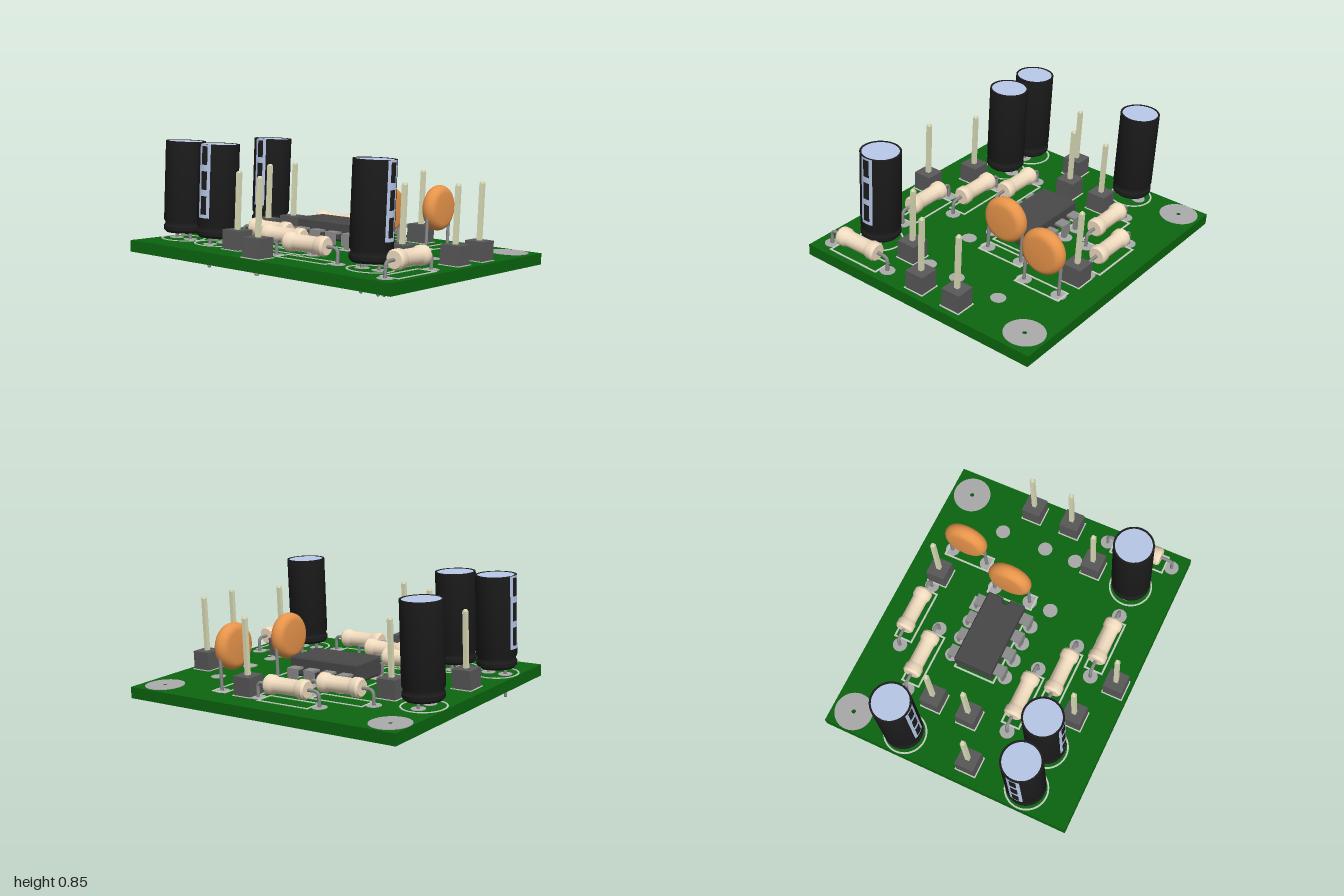
import * as THREE from 'three';
import { toCreasedNormals } from 'three/addons/utils/BufferGeometryUtils.js';

const mat = (color, side = THREE.FrontSide) => new THREE.MeshStandardMaterial({ color, side });
const M = {
  board: mat(0x0b650f), pad: mat(0xaaaaaa), silk: mat(0xc4ccc0), trace: mat(0x777777),
  lead: mat(0x8c8c8c), pin: mat(0xdedeba), block: mat(0x585858), chip: mat(0x484848),
  sleeve: mat(0x1c1c1c), stripe: mat(0xb8c8e8, THREE.DoubleSide),
  mark: mat(0x1c1c1c, THREE.DoubleSide), resistor: mat(0xf0dbbf), disc: mat(0xe8944a),
};
const T = 0.073; // board thickness; the top of the board is y = 0

function add(parent, name, geo, material, x = 0, y = 0, z = 0) {
  const m = new THREE.Mesh(geo, material);
  m.name = name;
  m.position.set(x, y, z);
  parent.add(m);
  return m;
}
function part(parent, name, x, z, turn = 0) {
  const g = new THREE.Group();
  g.name = name;
  g.position.set(x, 0, z);
  g.rotation.y = turn;
  parent.add(g);
  return g;
}
const box = (w, h, d) => new THREE.BoxGeometry(w, h, d);
const lathe = (pts, n = 36) => toCreasedNormals(
  new THREE.LatheGeometry(pts.map(p => new THREE.Vector2(...p)), n), 0.6);

function rectPath(P, w, d) {
  const p = new P();
  p.moveTo(-w, -d); p.lineTo(w, -d); p.lineTo(w, d); p.lineTo(-w, d); p.closePath();
  return p;
}
function circlePath(P, r, x = 0, z = 0) {
  return new P().absarc(x, z, r, 0, Math.PI * 2);
}
// Extrude an outline downward from y = 0
function flat(shape, depth, holes = []) {
  shape.holes.push(...holes);
  return new THREE.ExtrudeGeometry(shape, { depth, bevelEnabled: false, curveSegments: 20 }).rotateX(Math.PI / 2);
}
const frame = (w, d, t = 0.012) =>
  flat(rectPath(THREE.Shape, w, d), 0.004, [rectPath(THREE.Path, w - t, d - t)]);
const ring = (r, hole) =>
  flat(circlePath(THREE.Shape, r), 0.004, [circlePath(THREE.Path, hole)]);

// Copper pad on both faces
function pad(g, x, z, r = 0.048) {
  for (const y of [0.001, -T - 0.001]) add(g, 'pad', new THREE.CylinderGeometry(r, r, 0.005, 20), M.pad, x, y, z);
}
function wire(g, pts, r = 0.011) {
  const curve = new THREE.CurvePath();
  const v = pts.map(p => new THREE.Vector3(...p));
  if (v.length === 2) curve.add(new THREE.LineCurve3(v[0], v[1]));
  else {
    // rounded corner at the middle point
    const a = v[1].clone().lerp(v[0], 0.035 / v[1].distanceTo(v[0]));
    const b = v[1].clone().lerp(v[2], 0.035 / v[1].distanceTo(v[2]));
    curve.add(new THREE.LineCurve3(v[0], a));
    curve.add(new THREE.QuadraticBezierCurve3(a, v[1], b));
    curve.add(new THREE.LineCurve3(b, v[2]));
  }
  add(g, 'lead', new THREE.TubeGeometry(curve, 24, r, 8), M.lead);
  const end = v[v.length - 1];
  add(g, 'leadTip', new THREE.SphereGeometry(r, 8, 6), M.lead, end.x, end.y, end.z);
}

function electrolytic(root, x, z, turn) {
  const g = part(root, 'electrolyticCapacitor', x, z, turn);
  add(g, 'sleeve', lathe([[0, 0.045], [0.113, 0.045], [0.126, 0.06], [0.128, 0.085], [0.119, 0.1],
    [0.119, 0.108], [0.128, 0.125], [0.128, 0.63], [0.116, 0.63], [0.116, 0.622], [0, 0.622]]), M.sleeve);
  add(g, 'topCap', new THREE.CylinderGeometry(0.116, 0.116, 0.006, 36), M.stripe, 0, 0.624, 0);
  const arc = (r, h, a) => new THREE.CylinderGeometry(r, r, h, 8, 1, true, -a, 2 * a);
  add(g, 'polarityStripe', arc(0.1295, 0.46, 0.34), M.stripe, 0, 0.4, 0);
  for (let i = 0; i < 3; i++) add(g, 'stripeMark', arc(0.131, 0.115, 0.17), M.mark, 0, 0.25 + i * 0.155, 0);
  add(g, 'outline', ring(0.142, 0.131), M.silk, 0, 0.004, 0);
  for (const s of [-1, 1]) {
    pad(g, 0, s * 0.06, 0.045);
    wire(g, [[0, 0.06, s * 0.06], [0, -0.137, s * 0.06]]);
  }
}

function resistor(root, x, z, turn = 0) {
  const g = part(root, 'resistor', x, z, turn);
  const half = [[0.05, 0.075], [0.054, 0.09], [0.06, 0.1], [0.06, 0.138], [0.05, 0.152], [0, 0.152]];
  const profile = [...half.map(([r, y]) => [r, -y]).reverse(), ...half];
  add(g, 'resistorBody', lathe(profile, 28).rotateZ(Math.PI / 2), M.resistor, 0, 0.095, 0);
  add(g, 'outline', frame(0.192, 0.066), M.silk, 0, 0.004, 0);
  for (const s of [-1, 1]) {
    pad(g, s * 0.23, 0);
    wire(g, [[s * 0.14, 0.095, 0], [s * 0.23, 0.095, 0], [s * 0.23, -0.09, 0]]);
  }
}

function pinHeader(root, x, z) {
  const g = part(root, 'pinHeader', x, z);
  add(g, 'outline', frame(0.072, 0.072), M.silk, 0, 0.004, 0);
  add(g, 'headerBlock', box(0.128, 0.12, 0.128), M.block, 0, 0.063, 0);
  add(g, 'headerPin', box(0.027, 0.565, 0.027), M.pin, 0, 0.188, 0);
  // tapered pin ends
  for (const s of [-1, 1]) {
    const tip = new THREE.CylinderGeometry(0.011, 0.019, 0.012, 4).rotateY(Math.PI / 4);
    if (s < 0) tip.rotateX(Math.PI);
    add(g, 'pinTip', tip, M.pin, 0, s > 0 ? 0.4765 : -0.1005, 0);
  }
  pad(g, 0, 0, 0.045);
}

function discCapacitor(root, x, z) {
  const g = part(root, 'discCapacitor', x, z);
  const rim = [];
  for (let i = 0; i <= 12; i++) {
    const a = -Math.PI / 2 + Math.PI * i / 12;
    rim.push([0.1 + 0.048 * Math.cos(a), 0.05 * Math.sin(a)]);
  }
  add(g, 'discBody', lathe([[0, -0.053], ...rim, [0, 0.053]], 40).rotateZ(Math.PI / 2), M.disc, 0, 0.258, 0);
  add(g, 'outline', frame(0.056, 0.165), M.silk, 0, 0.004, 0);
  for (const s of [-1, 1]) {
    pad(g, 0, s * 0.128);
    wire(g, [[0, 0.24, s * 0.128], [0, -0.09, s * 0.128]]);
  }
}

function chip(root, x, z) {
  const g = part(root, 'chip', x, z);
  // body with a half-round notch in the +x end
  const s = new THREE.Shape();
  s.moveTo(-0.245, -0.122); s.lineTo(0.245, -0.122); s.lineTo(0.245, -0.035);
  s.absarc(0.245, 0, 0.035, -Math.PI / 2, Math.PI / 2, true);
  s.lineTo(0.245, 0.122); s.lineTo(-0.245, 0.122); s.closePath();
  const body = new THREE.ExtrudeGeometry(s, { depth: 0.1, bevelSize: 0.008, bevelThickness: 0.012, bevelSegments: 1, curveSegments: 10 });
  add(g, 'chipBody', body.rotateX(Math.PI / 2), M.chip, 0, 0.15, 0);
  add(g, 'outline', frame(0.265, 0.145), M.silk, 0, 0.004, 0);
  for (let i = 0; i < 4; i++) for (const d of [-1, 1]) {
    const px = -0.192 + i * 0.128;
    add(g, 'legShoulder', box(0.078, 0.014, 0.08), M.lead, px, 0.095, d * 0.153);
    add(g, 'legBlade', box(0.078, 0.08, 0.014), M.lead, px, 0.062, d * 0.19);
    add(g, 'legTip', box(0.03, 0.13, 0.014), M.lead, px, -0.04, d * 0.19);
    if (i === 3 && d < 0) add(g, 'firstPad', box(0.096, 0.005, 0.096), M.pad, px, 0.001, -0.19);
    else pad(g, px, d * 0.19);
  }
}

// Copper track on the underside, from [x, z] corners
function track(root, pts, w = 0.06) {
  const y = -T - 0.001;
  pts.forEach(([x, z], i) => {
    add(root, 'trackCorner', new THREE.CylinderGeometry(w / 2, w / 2, 0.004, 12), M.trace, x, y, z);
    if (!i) return;
    const [a, b] = pts[i - 1];
    const m = add(root, 'track', box(Math.hypot(x - a, z - b), 0.004, w), M.trace, (x + a) / 2, y, (z + b) / 2);
    m.rotation.y = -Math.atan2(z - b, x - a);
  });
}

export function createModel() {
  const model = new THREE.Group();
  model.name = 'circuitBoard';
  const root = new THREE.Group();
  root.name = 'tiltedAssembly';
  root.position.set(0, 0.167, 0);
  root.rotation.x = -0.0655;
  model.add(root);

  // Board with two mounting holes
  const holes = [[-0.872, -0.738], [0.84, -0.738]];
  const slab = new THREE.Shape();
  slab.moveTo(-1, -0.882); slab.lineTo(1, -0.882); slab.lineTo(1, 0.812); slab.lineTo(-1, 0.812); slab.closePath();
  add(root, 'board', flat(slab, T, holes.map(([x, z]) => circlePath(THREE.Path, 0.014, x, z))), M.board);
  for (const [x, z] of holes) for (const y of [0.003, -T + 0.001])
    add(root, 'mountingPad', ring(0.126, 0.014), M.pad, x, y, z);

  for (const [x, z, t] of [[-0.857, -0.37, 0], [-0.857, 0.486, -1], [-0.567, 0.486, 0], [0.658, 0.524, 1]])
    electrolytic(root, x, z, t * Math.PI / 2);
  for (const [x, z] of [[-0.11, -0.68], [-0.364, -0.494], [-0.348, 0.217], [-0.102, 0.378], [0.206, 0.543]])
    resistor(root, x, z);
  resistor(root, 0.893, 0.486, Math.PI / 2);
  for (const [x, z] of [[0.214, -0.658], [-0.588, -0.295], [-0.594, -0.04], [-0.866, 0.095], [0.888, -0.28],
    [0.888, -0.005], [0.679, 0.245], [-0.021, 0.72], [-0.32, 0.568]]) pinHeader(root, x, z);
  discCapacitor(root, 0.417, -0.545);
  discCapacitor(root, 0.284, -0.163);
  chip(root, -0.066, -0.145);

  // Spare pads
  for (const [x, z] of [[0.674, -0.42], [0.674, -0.105], [0.674, 0.115], [0.284, 0.115]]) pad(root, x, z);

  // Underside copper tracks
  [
    [[0.893, 0.716], [0.8, 0.75], [-0.78, 0.75], [-0.92, 0.6], [-0.92, 0.2], [-0.866, 0.095], [-0.9, -0.3]],
    [[0.893, 0.256], [0.893, -0.005], [0.78, -0.1], [0.674, -0.105]],
    [[0.888, -0.28], [0.78, -0.42], [0.674, -0.42], [0.55, -0.67], [0.417, -0.673]],
    [[0.658, 0.46], [0.5, 0.54], [0.436, 0.543]],
    [[0.284, 0.115], [0.45, 0.25], [0.679, 0.245]],
    [[0.284, -0.035], [0.126, 0.045], [0.126, 0.37]],
    [[0.417, -0.417], [0.284, -0.29], [0.126, -0.335]],
    [[0.214, -0.658], [0.12, -0.68], [0.02, -0.55], [-0.134, -0.494], [-0.13, -0.335]],
    [[-0.34, -0.68], [-0.6, -0.62], [-0.594, -0.494], [-0.72, -0.3], [-0.857, -0.31]],
    [[-0.588, -0.295], [-0.4, -0.25], [-0.258, -0.335]],
    [[-0.594, -0.04], [-0.42, 0.03], [-0.258, 0.045]],
    [[-0.578, 0.217], [-0.7, 0.3], [-0.7, 0.48], [-0.797, 0.486]],
    [[-0.13, 0.045], [-0.118, 0.217], [-0.24, 0.3], [-0.332, 0.378], [-0.45, 0.42], [-0.567, 0.426]],
    [[-0.002, 0.045], [0.02, 0.45], [-0.024, 0.543], [-0.021, 0.72]],
    [[-0.567, 0.546], [-0.42, 0.6], [-0.32, 0.568]],
  ].forEach(p => track(root, p));

  return model;
}
